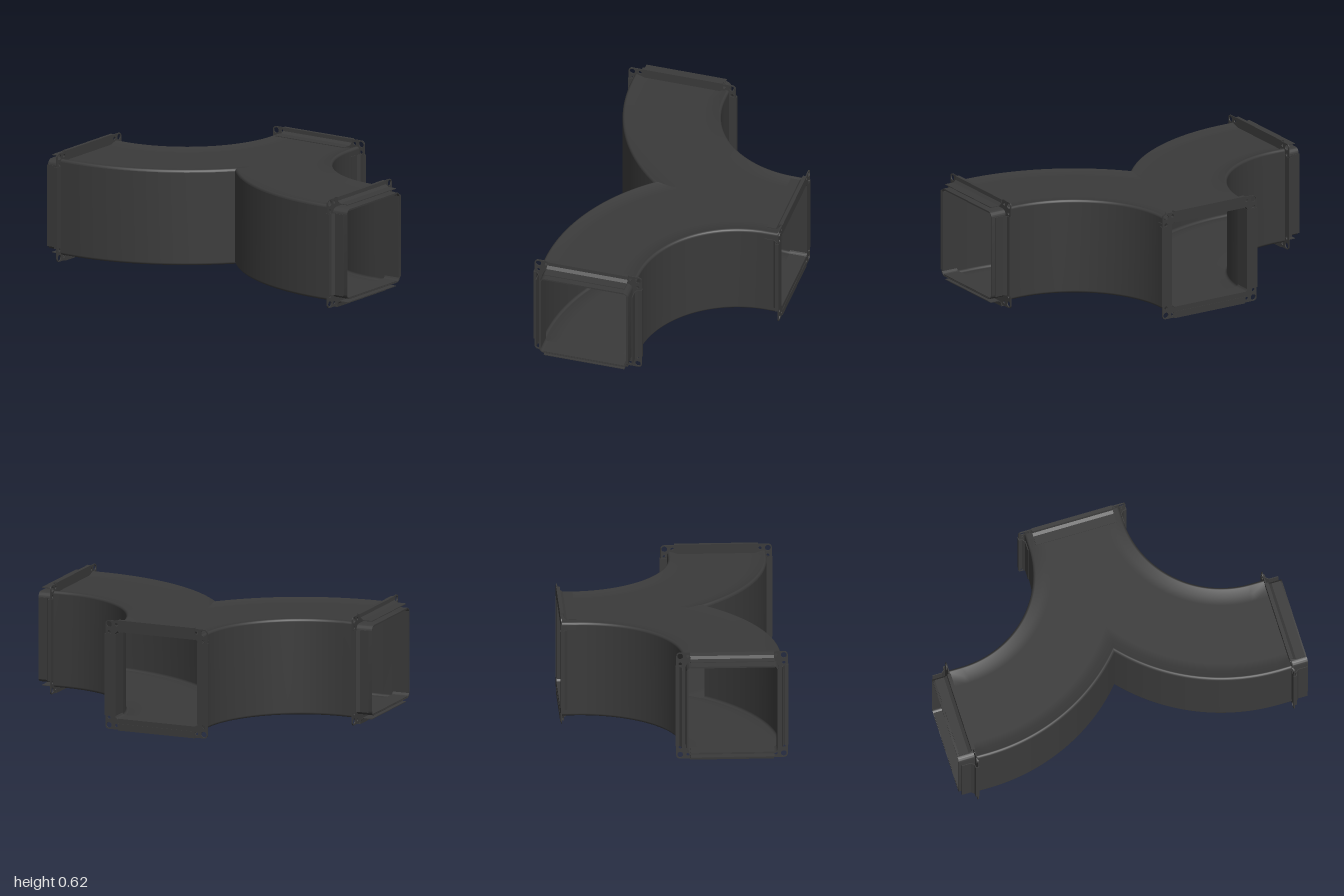
import * as THREE from 'three';
import { toCreasedNormals } from 'three/addons/utils/BufferGeometryUtils.js';

const MID_Y = 0.31;   // height of the duct axis
const HALF = 0.27;    // half width of the square duct
const BEND = { x: 0.83, z: -0.528 }; // centre of each elbow
const END_X = 0.9, END_Z = -0.61;

const material = new THREE.MeshStandardMaterial({ color: 0x3a3a3a, side: THREE.DoubleSide });

function named(name, geometry) {
  const mesh = new THREE.Mesh(geometry, material);
  mesh.name = name;
  return mesh;
}

// Adds a rounded square to a Shape or Path
function roundedSquare(path, h, r) {
  const c = h - r, q = Math.PI / 2;
  path.moveTo(h, -c);
  path.absarc(c, c, r, 0, q);
  path.absarc(-c, c, r, q, 2 * q);
  path.absarc(-c, -c, r, 2 * q, 3 * q);
  path.absarc(c, -c, r, 3 * q, 4 * q);
  path.closePath();
  return path;
}

// Duct cross-section: offsets across the bend and up, as a closed loop
function ductSection() {
  const r = 0.015, c = HALF - r, pts = [];
  for (let k = 0; k < 4; k++) {
    const cx = k === 0 || k === 3 ? c : -c, cy = k < 2 ? c : -c;
    for (let i = 0; i <= 4; i++) {
      const a = (k + i / 4) * Math.PI / 2;
      pts.push([cx + r * Math.cos(a), cy + r * Math.sin(a)]);
    }
    // extra points over the roof and floor, including the axis
    if (k % 2 === 0) {
      for (let i = 1; i < 12; i++) pts.push([cx * (1 - i / 6), cy]);
    }
  }
  pts.push(pts[0]);
  return pts;
}

// One elbow from a side opening to the neck, trimmed at the middle plane
function elbow(side) {
  const steps = 40, section = ductSection(), pos = [], idx = [];
  const rows = steps + 3, cols = section.length;
  for (let j = 0; j < rows; j++) {
    const t = THREE.MathUtils.clamp((j - 1) / steps, 0, 1);
    for (const [off, up] of section) {
      const r = BEND.x + off;
      const trimmed = off > 1e-6;
      const last = Math.PI / 2 - (trimmed ? Math.acos(BEND.x / r) : 0);
      let x = BEND.x - r * Math.sin(t * last);
      let z = BEND.z + r * Math.cos(t * last);
      if (j === 0) x = END_X + 0.005;
      if (j === rows - 1 && !trimmed) z = END_Z + 0.005;
      pos.push(side * x, MID_Y + up, z);
    }
  }
  for (let j = 0; j < rows - 1; j++) {
    for (let i = 0; i < cols - 1; i++) {
      const a = j * cols + i, b = a + 1, c = a + cols, d = c + 1;
      if (side > 0) idx.push(a, c, b, b, c, d);
      else idx.push(a, b, c, b, d, c);
    }
  }
  const g = new THREE.BufferGeometry();
  g.setAttribute('position', new THREE.Float32BufferAttribute(pos, 3));
  g.setIndex(idx);
  g.computeVertexNormals();
  return g;
}

// Connecting frame: face in the xy plane, sleeve running along +z
function flange(name) {
  const group = new THREE.Group();
  group.name = name;

  // Face plate with one large and two small holes in each corner
  const plate = roundedSquare(new THREE.Shape(), 0.306, 0.02);
  plate.holes.push(roundedSquare(new THREE.Path(), 0.25, 0.03));
  for (const sx of [-1, 1]) {
    for (const sy of [-1, 1]) {
      for (const [x, y, r] of [[0.284, 0.284, 0.016], [0.241, 0.284, 0.009], [0.284, 0.241, 0.009]]) {
        plate.holes.push(new THREE.Path().absarc(sx * x, sy * y, r, 0, Math.PI * 2, true));
      }
    }
  }
  const plateGeo = new THREE.ExtrudeGeometry(plate, { depth: 0.006, bevelEnabled: false, curveSegments: 8 });
  plateGeo.translate(0, 0, 0.002);
  group.add(named('facePlate', plateGeo));

  // Inner sleeve
  const ring = roundedSquare(new THREE.Shape(), 0.254, 0.032);
  ring.holes.push(roundedSquare(new THREE.Path(), 0.249, 0.028));
  const ringGeo = new THREE.ExtrudeGeometry(ring, { depth: 0.097, bevelEnabled: false, curveSegments: 6 });
  ringGeo.translate(0, 0, 0.003);
  group.add(named('innerSleeve', toCreasedNormals(ringGeo, 0.6)));

  // Parts of each edge: folded sheet (hollow lip, slope and outer leg) and inner lining
  const fold = new THREE.Shape([
    [0, 0.272], [0.004, 0.272], [0.004, 0.306], [0.016, 0.306], [0.018, 0.288], [0.036, 0.273],
    [0.09, 0.273], [0.09, 0.277], [0.038, 0.277], [0.022, 0.29], [0.02, 0.31], [0, 0.31],
  ].map(([a, b]) => new THREE.Vector2(a, b)));
  const foldGeo = new THREE.ExtrudeGeometry(fold, { depth: 0.46, bevelEnabled: false });
  foldGeo.translate(0, 0, -0.23).rotateY(-Math.PI / 2);
  const liningGeo = new THREE.BoxGeometry(0.46, 0.006, 0.096).translate(0, 0.247, 0.05);
  for (let k = 0; k < 4; k++) {
    const edge = new THREE.Group();
    edge.name = 'edgeBar';
    edge.add(named('foldedSheet', foldGeo), named('lining', liningGeo));
    edge.rotation.z = k * Math.PI / 2;
    group.add(edge);
  }
  return group;
}

export function createModel() {
  const model = new THREE.Group();
  model.name = 'ductBranch';

  // Two mirrored elbows and their side frames
  for (const side of [1, -1]) {
    const label = side > 0 ? 'left' : 'right';
    model.add(named(label + 'Elbow', elbow(side)));
    const frame = flange(label + 'Flange');
    frame.position.set(side * END_X, MID_Y, 0.3);
    frame.rotation.y = side * Math.PI / 2;
    model.add(frame);
  }

  // Frame on the shared neck
  const back = flange('backFlange');
  back.position.set(0, MID_Y, END_Z);
  model.add(back);
  return model;
}
